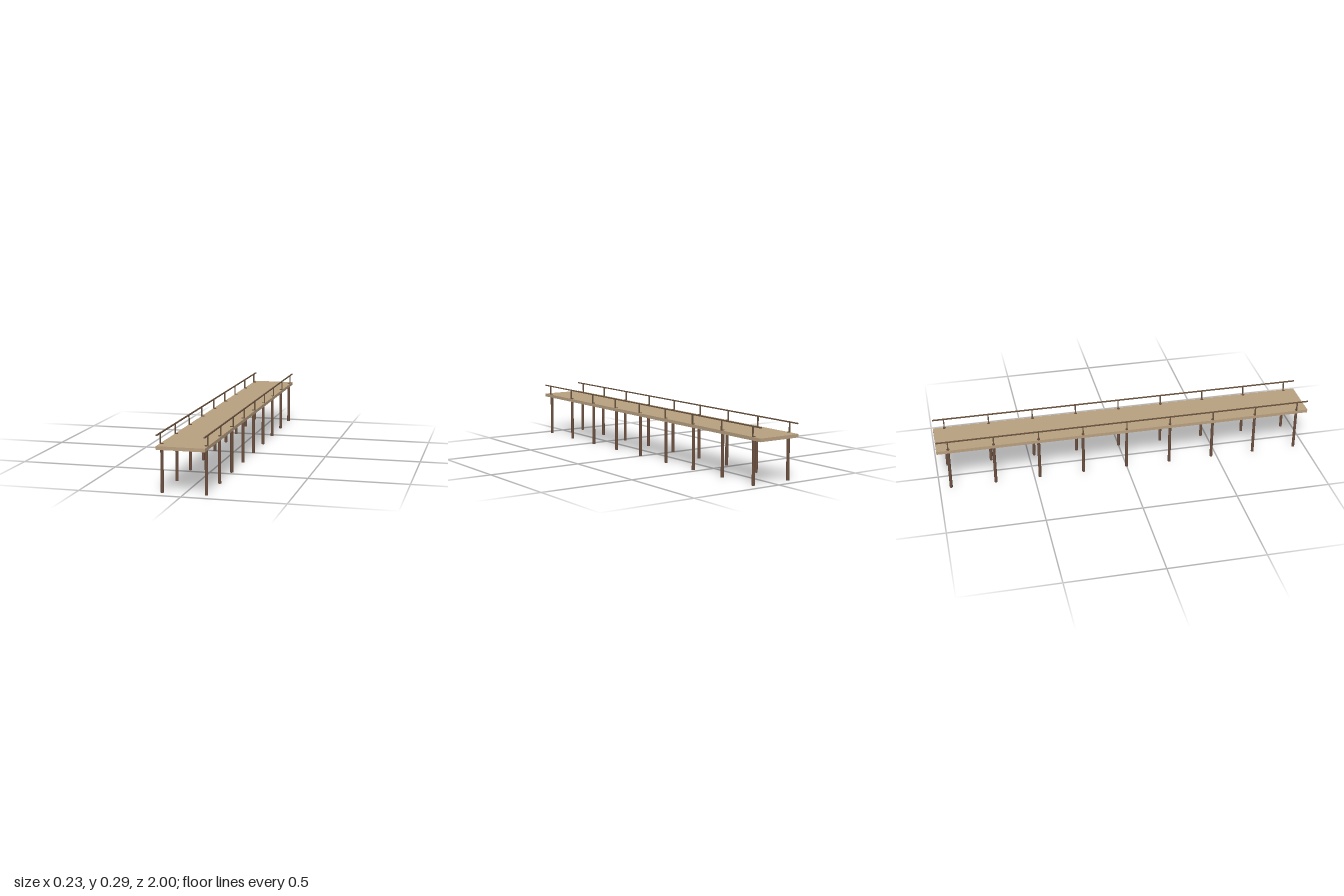
import * as THREE from 'three';

const wood = (color) => new THREE.MeshStandardMaterial({ color, flatShading: true });

export function createModel() {
  const group = new THREE.Group();
  const deckWood = wood(0xb8a080);
  const pileWood = wood(0x6b5040);
  const railWood = wood(0x6b5440);

  const add = (name, geometry, material, x, y, z) => {
    const mesh = new THREE.Mesh(geometry, material);
    mesh.name = name;
    mesh.position.set(x, y, z);
    group.add(mesh);
  };

  // Deck slab
  const deckBottom = 0.216, deckTop = 0.233, railTop = 0.286;
  add('deck', new THREE.BoxGeometry(0.234, deckTop - deckBottom, 2), deckWood, 0, (deckTop + deckBottom) / 2, 0);

  // Piles rise just through the deck; slim posts carry the handrail
  const pileHeight = 0.2355, railSize = 0.006;
  const postHeight = railTop - railSize - deckTop;
  const pile = new THREE.CylinderGeometry(0.008, 0.008, pileHeight, 8);
  const post = new THREE.BoxGeometry(railSize, postHeight, railSize);
  const rail = new THREE.BoxGeometry(railSize, railSize, 2);

  for (const side of [1, -1]) {
    const name = side > 0 ? 'left' : 'right';
    add(name + 'Handrail', rail, railWood, side * 0.114, railTop - railSize / 2, 0);
    for (let i = -4; i <= 4; i++) {
      const z = i * 0.235;
      add(name + 'Pile', pile, pileWood, side * 0.107, pileHeight / 2, z);
      add(name + 'RailPost', post, railWood, side * 0.114, deckTop + postHeight / 2, z);
    }
  }
  return group;
}
